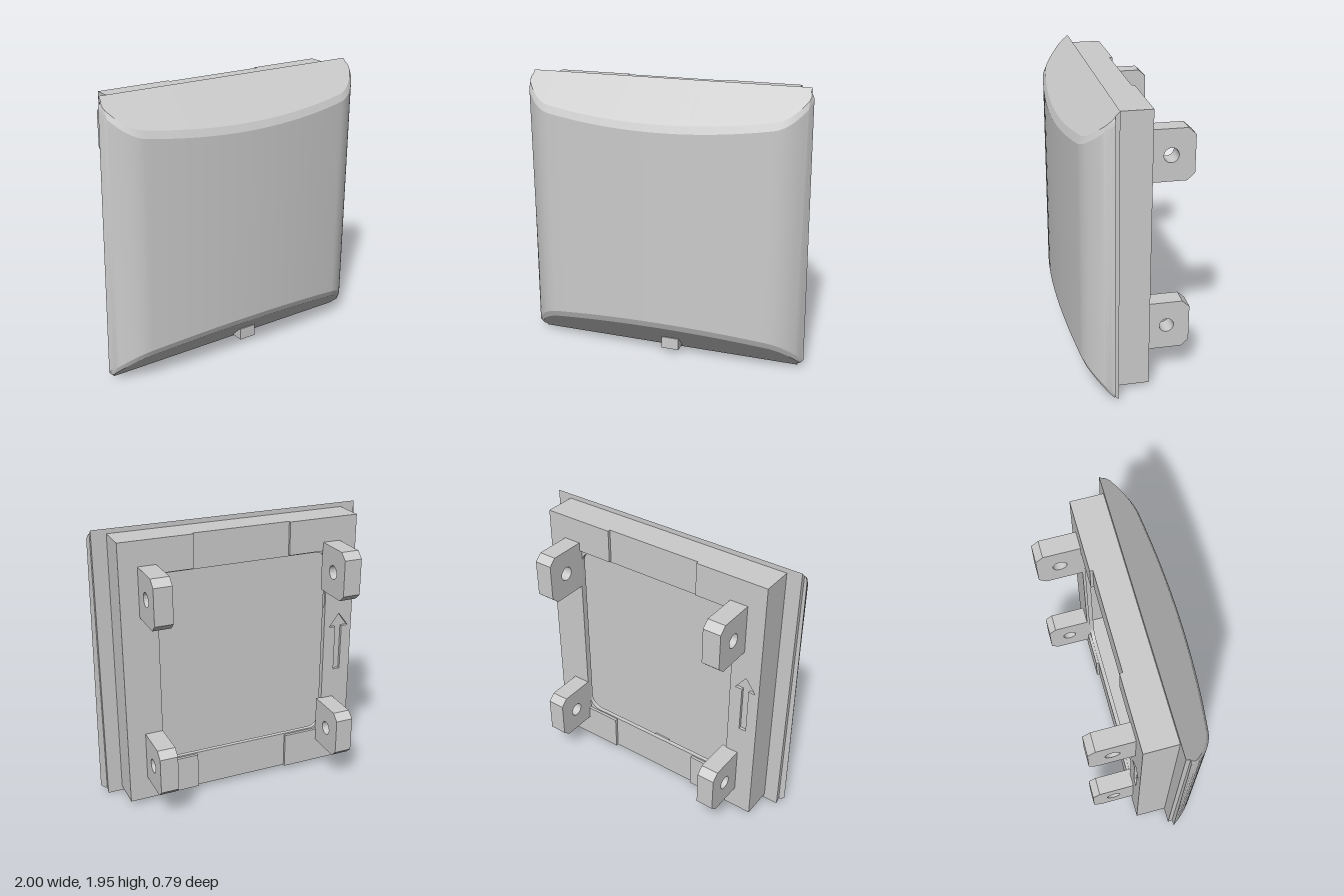
import * as THREE from 'three';
import { toCreasedNormals } from 'three/addons/utils/BufferGeometryUtils.js';

const grey = new THREE.MeshStandardMaterial({ color: 0xcccccc });
const TOP = 1.945, RIM = 0.955, BACK = 0.122, STEP = 0.152;

function add(parent, name, geometry) {
  const mesh = new THREE.Mesh(geometry, grey);
  mesh.name = name;
  parent.add(mesh);
  return mesh;
}

function box(parent, name, x0, x1, y0, y1, z0, z1) {
  const mesh = add(parent, name, new THREE.BoxGeometry(x1 - x0, y1 - y0, z1 - z0));
  mesh.position.set((x0 + x1) / 2, (y0 + y1) / 2, (z0 + z1) / 2);
}

const vectors = (points) => points.map(([x, y]) => new THREE.Vector2(x, y));
const rectangle = (x, y0, y1) => vectors([[-x, y0], [x, y0], [x, y1], [-x, y1]]);

function plate(shape, z0, z1) {
  const geo = new THREE.ExtrudeGeometry(shape, { depth: z1 - z0, bevelEnabled: false, curveSegments: 10 });
  return toCreasedNormals(geo.translate(0, 0, z0), 0.5);
}

// Closed outline of the cover in (z, y) for one column: sloped ends, chamfered into the front
function coverRing(zFront, zBack) {
  const a = Math.min(0.02, zFront - zBack);
  const corner = zFront - BACK;
  // clip the outermost corners where the cover thins out
  const lift = zBack === STEP ? 0.03 * Math.max(0, 1 - (zFront - zBack) / 0.04) : 0;
  const lower = vectors([
    [zBack, zBack - BACK + lift],
    [zFront - a, corner - a + lift],
    [zFront, corner + a * 1.41 + lift],
  ]);
  const upper = lower.map((p) => new THREE.Vector2(p.x, TOP - p.y)).reverse();
  return [...lower, ...upper];
}

// Bowed cover lofted across x, narrowing slightly toward the top
function coverGeometry() {
  const half = [];
  for (let i = 0; i <= 10; i++) {
    const x = 0.076 * i;
    half.push([x, 0.394 - 0.0975 * x * x]);
  }
  const side = new THREE.QuadraticBezierCurve(
    new THREE.Vector2(0.76, 0.338), new THREE.Vector2(0.895, 0.318), new THREE.Vector2(1, STEP));
  for (let i = 1; i <= 14; i++) {
    const p = side.getPoint(i / 14);
    half.push([p.x, p.y]);
  }
  const columns = [];
  half.forEach(([x, z], i) => {
    columns.push([x, z, x < RIM ? BACK : STEP]);
    const next = half[i + 1];
    if (next && x < RIM && next[0] >= RIM) {
      // step where the rim turns back
      const zr = z + (next[1] - z) * (RIM - x) / (next[0] - x);
      columns.push([RIM, zr, BACK], [RIM, zr, STEP]);
    }
  });
  const all = [...columns.slice(1).reverse().map(([x, z, b]) => [-x, z, b]), ...columns];

  const position = [], index = [];
  all.forEach(([x, zFront, zBack], j) => {
    const ring = coverRing(zFront, zBack);
    const n = ring.length;
    for (const p of ring) {
      const outer = Math.max(0, (Math.abs(x) - RIM) / (1 - RIM));
      position.push(x - Math.sign(x) * 0.025 * outer * p.y / TOP, p.y, p.x);
    }
    if (j === 0) return;
    for (let i = 0; i < n; i++) {
      const k = (i + 1) % n;
      const a = (j - 1) * n + i, b = (j - 1) * n + k, c = j * n + k, d = j * n + i;
      index.push(a, d, c, a, c, b);
    }
  });
  const geo = new THREE.BufferGeometry();
  geo.setAttribute('position', new THREE.Float32BufferAttribute(position, 3));
  geo.setIndex(index);
  return toCreasedNormals(geo, 0.3);
}

function roundedRectPath(x0, x1, y0, y1, r) {
  const p = new THREE.Path();
  p.absarc(x1 - r, y0 + r, r, -Math.PI / 2, 0);
  p.absarc(x1 - r, y1 - r, r, 0, Math.PI / 2);
  p.absarc(x0 + r, y1 - r, r, Math.PI / 2, Math.PI);
  p.absarc(x0 + r, y0 + r, r, Math.PI, Math.PI * 1.5);
  return p;
}

// Mounting lug: chamfered block with a cross hole
function lugGeometry() {
  const s = new THREE.Shape(vectors(
    [[-0.09, -0.171], [-0.09, 0.171], [-0.35, 0.171], [-0.4, 0.125], [-0.4, -0.125], [-0.35, -0.171]]));
  const hole = new THREE.Path();
  hole.absarc(-0.247, 0, 0.048, 0, Math.PI * 2, true);
  s.holes.push(hole);
  const geo = new THREE.ExtrudeGeometry(s, { depth: 0.125, bevelEnabled: false, curveSegments: 24 });
  geo.rotateY(-Math.PI / 2).translate(0.0625, 0, 0);
  return toCreasedNormals(geo, 0.5);
}

export function createModel() {
  const model = new THREE.Group();
  model.name = 'wallUnit';

  add(model, 'frontCover', coverGeometry());
  box(model, 'bottomTab', 0, 0.125, 0.035, 0.12, 0.1, 0.25);

  // Hollow back housing, closed in front by the cover
  const y0 = 0.033, y1 = 1.912, w = 0.852;
  const walls = new THREE.Shape(rectangle(w, y0, y1));
  walls.holes.push(new THREE.Path(rectangle(w - 0.05, y0 + 0.05, y1 - 0.05)));
  add(model, 'housingWalls', plate(walls, -0.05, BACK));

  // Thin lip around the opening
  const lip = new THREE.Shape(rectangle(w, y0, y1));
  lip.holes.push(roundedRectPath(-0.64, 0.605, 0.3, 1.67, 0.09));
  add(model, 'housingLip', plate(lip, -0.08, -0.05));

  // Raised side pads, leaving a shallow notch at top and bottom
  for (const s of [-1, 1]) {
    const inner = s < 0 ? 0.635 : 0.6;
    const pad = new THREE.Shape(vectors([
      [0.345, y0], [w, y0], [w, y1], [0.345, y1],
      [0.345, 1.68], [inner, 1.68], [inner, 0.29], [0.345, 0.29],
    ].map(([x, y]) => [s * x, y])));
    if (s < 0) {
      // engraved upward arrow
      const arrow = [[-0.025, 0.765], [0.025, 0.765], [0.025, 1.1], [0.075, 1.1], [0, 1.2], [-0.075, 1.1], [-0.025, 1.1]];
      pad.holes.push(new THREE.Path(vectors(arrow.map(([x, y]) => [x - 0.75, y]))));
    }
    add(model, s < 0 ? 'rightPad' : 'leftPad', plate(pad, -0.1, -0.08));
  }

  // Small T-shaped catch inside the housing
  box(model, 'catchStem', -0.02, 0.02, 1.66, 1.78, 0.1, 0.13);
  box(model, 'catchHead', -0.045, 0.045, 1.77, 1.8, 0.1, 0.13);

  const lug = lugGeometry();
  for (const x of [-0.6625, 0.6625])
    for (const y of [0.374, 1.571]) add(model, 'mountingLug', lug).position.set(x, y, 0);

  return model;
}
